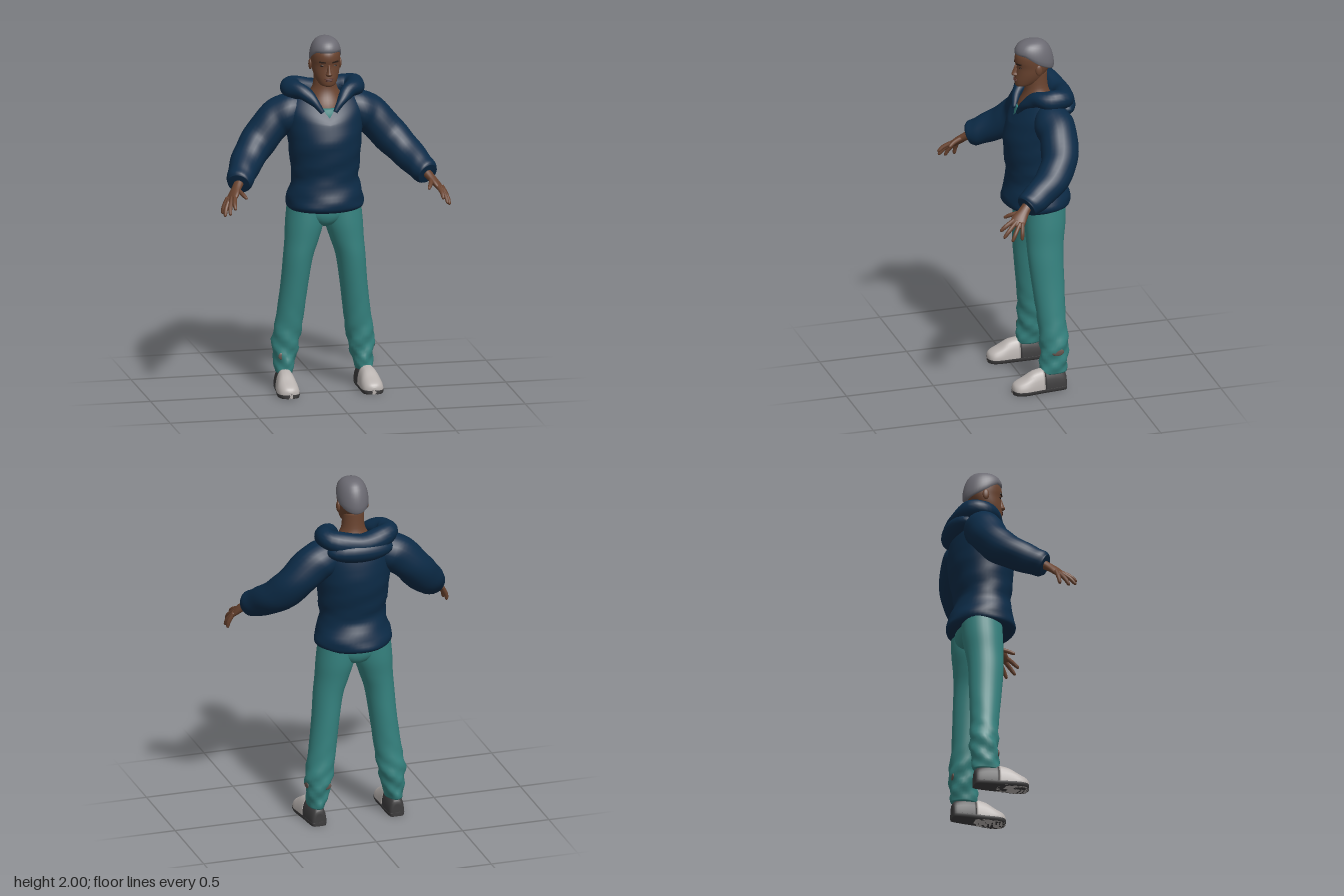
import * as THREE from 'three';

const V = (x, y, z) => new THREE.Vector3(x, y, z);

// Catmull-Rom interpolation of every column in a short table of rows
function smoothRows(rows, steps = 4) {
  const out = [], at = i => rows[Math.min(Math.max(i, 0), rows.length - 1)];
  for (let i = 0; i < rows.length - 1; i++) {
    for (let k = 0; k < steps; k++) {
      const t = k / steps;
      out.push(at(i).map((b, c) => {
        const a = at(i - 1)[c], d = at(i + 1)[c], e = at(i + 2)[c];
        return b + 0.5 * t * (d - a + t * (2 * a - 5 * b + 4 * d - e + t * (3 * (b - d) + e - a)));
      }));
    }
  }
  out.push(rows[rows.length - 1]);
  return out;
}

// Skin a list of closed rings, optionally closing both ends
function skin(rings, capStart = true, capEnd = true) {
  const n = rings[0].length, pts = rings.flat(), idx = [];
  for (let i = 0; i < rings.length - 1; i++) {
    for (let j = 0; j < n; j++) {
      const a = i * n + j, b = i * n + (j + 1) % n;
      idx.push(a, a + n, b, b, a + n, b + n);
    }
  }
  const cap = (ring, base, flip) => {
    const c = pts.push(ring.reduce((s, p) => s.add(p), V(0, 0, 0)).divideScalar(n)) - 1;
    for (let j = 0; j < n; j++) {
      const a = base + j, b = base + (j + 1) % n;
      idx.push(...(flip ? [c, b, a] : [c, a, b]));
    }
  };
  if (capStart) cap(rings[0], 0, false);
  if (capEnd) cap(rings[rings.length - 1], (rings.length - 1) * n, true);
  const g = new THREE.BufferGeometry().setFromPoints(pts);
  g.setIndex(idx);
  g.computeVertexNormals();
  return g;
}

const ringOf = (n, f) => Array.from({ length: n }, (_, j) => f(j / n * Math.PI * 2));

// Horizontal rings, rows ascending: [y, half width, front z, back z, centre x, wrinkle, neckline dip]
function stack(rows, n = 32, capStart = true, capEnd = true) {
  return skin(smoothRows(rows).map(([y, rx, zf, zb, xc = 0, wr = 0, dip = 0]) => ringOf(n, a => {
    const c = Math.cos(a), s = Math.sin(a);
    const w = 1 + wr * Math.sin(3 * a + 55 * y) + wr * 0.6 * Math.sin(5 * a - 80 * y);
    const d = s > 0 ? dip * (1 - Math.abs(c)) : 0;
    return V(xc + rx * c * w, y - d, (zf + zb) / 2 + (zf - zb) / 2 * s * w + d * 0.45);
  })), capStart, capEnd);
}

// Round tube with changing radius, rows: [x, y, z, radius]
function sweep(rows, n = 20, wrinkle = 0) {
  const r = smoothRows(rows, 5);
  const p = r.map(q => V(q[0], q[1], q[2]));
  let N = null;
  return skin(r.map((q, i) => {
    const T = p[Math.min(i + 1, p.length - 1)].clone().sub(p[Math.max(i - 1, 0)]).normalize();
    if (!N) N = V(0, 1, 0).addScaledVector(T, -T.y);
    N = N.clone().addScaledVector(T, -N.dot(T)).normalize();
    const B = T.clone().cross(N);
    return ringOf(n, a => {
      const rad = q[3] * (1 + wrinkle * Math.sin(2 * a + i * 0.9));
      return p[i].clone().addScaledVector(N, rad * Math.cos(a)).addScaledVector(B, -rad * Math.sin(a));
    });
  }));
}

const blob = (x, y, z, sx, sy, sz) => new THREE.SphereGeometry(1, 20, 14).scale(sx, sy, sz).translate(x, y, z);

function mirrored(geo) {
  const g = geo.clone().scale(-1, 1, 1), a = g.index.array;
  for (let i = 0; i < a.length; i += 3) [a[i], a[i + 1]] = [a[i + 1], a[i]];
  g.computeVertexNormals();
  return g;
}

export function createModel() {
  const root = new THREE.Group();
  const mat = (name, color) => Object.assign(new THREE.MeshStandardMaterial({ color }), { name });
  const navy = mat('navy cloth', 0x0c2b47), teal = mat('teal cloth', 0x35827f);
  const skinTone = mat('skin', 0x69432f), grey = mat('grey hair', 0x6b6a72);
  const pale = mat('pale shoe', 0xb8b2af), dark = mat('dark rubber', 0x3d3c3d);
  const brow = mat('dark brow', 0x261a15), lip = mat('lip', 0x54302a), sock = mat('torn patch', 0x66564f);
  navy.side = THREE.DoubleSide;

  const add = (name, geo, m) => {
    const mesh = new THREE.Mesh(geo, m);
    mesh.name = name;
    root.add(mesh);
  };
  const pair = (name, geo, m) => {
    add(name + 'Left', geo, m);
    add(name + 'Right', mirrored(geo), m);
  };

  // Hooded top: body with V neckline, sleeves, rolled hood
  add('hoodieBody', stack([
    [1.03, 0.195, 0.08, -0.262, 0, 0.01, 0], [1.05, 0.215, 0.1, -0.28, 0, 0.012, 0],
    [1.1, 0.213, 0.095, -0.272, 0, 0.012, 0], [1.2, 0.187, 0.075, -0.235, 0, 0.014, 0],
    [1.3, 0.194, 0.083, -0.25, 0, 0.012, 0], [1.42, 0.205, 0.09, -0.27, 0, 0.008, 0],
    [1.52, 0.215, 0.065, -0.265, 0, 0, 0.01], [1.6, 0.22, 0.03, -0.25, 0, 0, 0.07],
    [1.66, 0.18, 0, -0.23, 0, 0, 0.115], [1.7, 0.11, -0.02, -0.2, 0, 0, 0.14],
  ], 48, true, false), navy);
  pair('sleeve', sweep([
    [0.12, 1.585, -0.125, 0.09], [0.2, 1.565, -0.13, 0.108], [0.28, 1.515, -0.135, 0.105],
    [0.37, 1.415, -0.11, 0.1], [0.44, 1.34, -0.045, 0.092], [0.495, 1.28, 0.05, 0.08],
    [0.523, 1.25, 0.11, 0.072], [0.533, 1.24, 0.13, 0.06],
  ], 24, 0.02), navy);
  const half = [
    [0.035, 1.59, 0.025, 0.012], [0.075, 1.645, 0, 0.025], [0.125, 1.69, -0.05, 0.042],
    [0.178, 1.698, -0.12, 0.054], [0.15, 1.692, -0.2, 0.058],
  ];
  add('hoodRoll', sweep([...half, [0, 1.665, -0.225, 0.06],
    ...half.slice().reverse().map(([x, y, z, r]) => [-x, y, z, r])], 20, 0.04), navy);
  add('hoodBack', blob(0, 1.63, -0.215, 0.19, 0.07, 0.085), navy);

  // Neck, chest and undershirt
  add('neckAndChest', stack([
    [1.45, 0.12, 0.01, -0.2], [1.55, 0.12, 0.022, -0.2], [1.62, 0.11, 0.008, -0.19],
    [1.68, 0.085, -0.02, -0.17], [1.73, 0.064, -0.03, -0.155], [1.82, 0.06, -0.03, -0.15],
  ]), skinTone);
  add('undershirt', stack([
    [1.45, 0.122, 0.02, -0.2], [1.55, 0.122, 0.032, -0.2], [1.61, 0.112, 0.017, -0.19],
  ]), teal);

  // Head and face
  add('head', stack([
    [1.735, 0.022, 0.022, -0.03], [1.745, 0.045, 0.03, -0.07], [1.775, 0.062, 0.032, -0.12],
    [1.81, 0.073, 0.027, -0.145], [1.85, 0.079, 0.024, -0.172], [1.885, 0.082, 0.03, -0.18],
    [1.92, 0.08, 0.025, -0.178], [1.95, 0.066, 0, -0.16], [1.975, 0.03, -0.04, -0.12],
  ]), skinTone);
  const profile = [[0.9, 0], [0.98, 0.06]];
  for (let i = 1; i <= 9; i++) {
    const t = i / 9.3 * Math.PI / 2;
    profile.push([Math.cos(t) ** 0.7, 0.06 + 0.94 * Math.sin(t)]);
  }
  add('hair', skin(profile.map(([s, k]) => ringOf(36, a => {
    const f = Math.sin(a);
    const low = f > 0 ? 1.875 + 0.048 * Math.min(1, f * 1.5) : 1.875 + 0.05 * f;
    return V(0.088 * s * Math.cos(a), low + (2 - low) * k, -0.08 + 0.112 * s * f);
  }))), grey);
  pair('ear', blob(0.083, 1.845, -0.082, 0.01, 0.03, 0.019), skinTone);
  add('nose', stack([
    [1.795, 0.014, 0.035, 0], [1.806, 0.019, 0.051, 0], [1.82, 0.013, 0.046, 0], [1.86, 0.008, 0.031, 0],
  ], 16), skinTone);
  add('mouthUpper', blob(0, 1.779, 0.027, 0.026, 0.005, 0.01), lip);
  add('mouthLower', blob(0, 1.77, 0.027, 0.021, 0.006, 0.01), lip);
  pair('eye', blob(0.034, 1.853, 0.011, 0.014, 0.005, 0.007), brow);
  pair('eyebrow', new THREE.BoxGeometry(0.038, 0.007, 0.008).rotateY(0.4).rotateZ(0.08).translate(0.036, 1.874, 0.019), brow);

  // Hands: palm, four fingers and thumb
  const u = V(-0.53, 0.29, 0.79), v = V(0.07, -0.08, 0.08).cross(u).normalize();
  pair('palm', skin(smoothRows([
    [0.528, 1.245, 0.12, 0.03, 0.026], [0.55, 1.22, 0.15, 0.032, 0.022],
    [0.572, 1.193, 0.18, 0.041, 0.019], [0.592, 1.168, 0.2, 0.042, 0.014], [0.6, 1.158, 0.208, 0.034, 0.008],
  ]).map(([x, y, z, w, t]) => ringOf(18, a =>
    V(x, y, z).addScaledVector(u, w * Math.cos(a)).addScaledVector(v, -t * Math.sin(a))))), skinTone);
  [
    ['indexFinger', 0.573, 1.178, 0.226, 0.586, 1.136, 0.295],
    ['middleFinger', 0.589, 1.168, 0.215, 0.614, 1.105, 0.283],
    ['ringFinger', 0.603, 1.158, 0.196, 0.634, 1.087, 0.24],
    ['littleFinger', 0.61, 1.158, 0.175, 0.637, 1.09, 0.185],
    ['thumb', 0.542, 1.215, 0.17, 0.513, 1.185, 0.253],
  ].forEach(([name, x, y, z, X, Y, Z]) => pair(name, sweep([
    [x - (X - x) * 0.3, y - (Y - y) * 0.3, z - (Z - z) * 0.3, 0.012],
    [(x + X) / 2 + 0.004, (y + Y) / 2 + 0.005, (z + Z) / 2, 0.012],
    [x + (X - x) * 0.9, y + (Y - y) * 0.9, z + (Z - z) * 0.9, 0.009], [X, Y, Z, 0.004],
  ], 10), skinTone));

  // Trousers, creased toward the ankle
  pair('trouserLeg', stack([
    [0.1, 0.046, -0.04, -0.195, 0.225, 0.03], [0.14, 0.055, -0.045, -0.2, 0.222, 0.06],
    [0.2, 0.065, -0.05, -0.205, 0.216, 0.06], [0.28, 0.077, -0.05, -0.21, 0.21, 0.06],
    [0.4, 0.076, -0.042, -0.2, 0.191, 0.02], [0.6, 0.076, -0.018, -0.2, 0.166, 0],
    [0.75, 0.082, -0.002, -0.2, 0.148, 0], [0.85, 0.094, 0.002, -0.208, 0.127, 0],
    [0.95, 0.106, 0.005, -0.222, 0.11, 0], [1.07, 0.102, 0, -0.225, 0.102, 0],
  ]), teal);
  add('trouserSeat', stack([
    [0.925, 0.02, -0.06, -0.14], [0.95, 0.09, -0.015, -0.2], [1, 0.175, 0.004, -0.225], [1.07, 0.195, 0, -0.225],
  ]), teal);
  // Torn patches near the ankles
  add('tornPatchOuter', blob(0.283, 0.235, -0.13, 0.006, 0.022, 0.035), sock);
  add('tornPatchBack', blob(0.185, 0.235, -0.198, 0.025, 0.02, 0.006), sock);
  add('tornPatchFront', blob(-0.25, 0.2, -0.06, 0.016, 0.02, 0.006), sock);

  // Shoes, rows along z: [z, half width, height, centre x]
  const shoe = (rows, h, w = 1) => skin(smoothRows(rows).map(([z, rw, rh, xc]) => ringOf(24, a => {
    const s = -Math.sin(a);
    return V(xc + rw * w * Math.sign(Math.cos(a)) * Math.abs(Math.cos(a)) ** 0.75, s > 0 ? 0.02 + (h(rh) - 0.02) * s : 0.02 + 0.02 * Math.max(s * 2, -1), z);
  })));
  const heel = [[-0.192, 0.025, 0.07, 0.225], [-0.18, 0.042, 0.1, 0.225], [-0.12, 0.05, 0.125, 0.227], [-0.06, 0.053, 0.13, 0.23]];
  const toe = [[-0.06, 0.053, 0.13, 0.23], [0, 0.058, 0.118, 0.234], [0.05, 0.062, 0.088, 0.236],
    [0.09, 0.055, 0.068, 0.236], [0.11, 0.037, 0.053, 0.236], [0.118, 0.012, 0.035, 0.236]];
  pair('shoeHeel', shoe(heel, h => h), dark);
  pair('shoeUpper', shoe(toe, h => h), pale);
  pair('shoeSole', shoe([...heel, ...toe.slice(1)], () => 0.026, 1.03), dark);

  return root;
}
